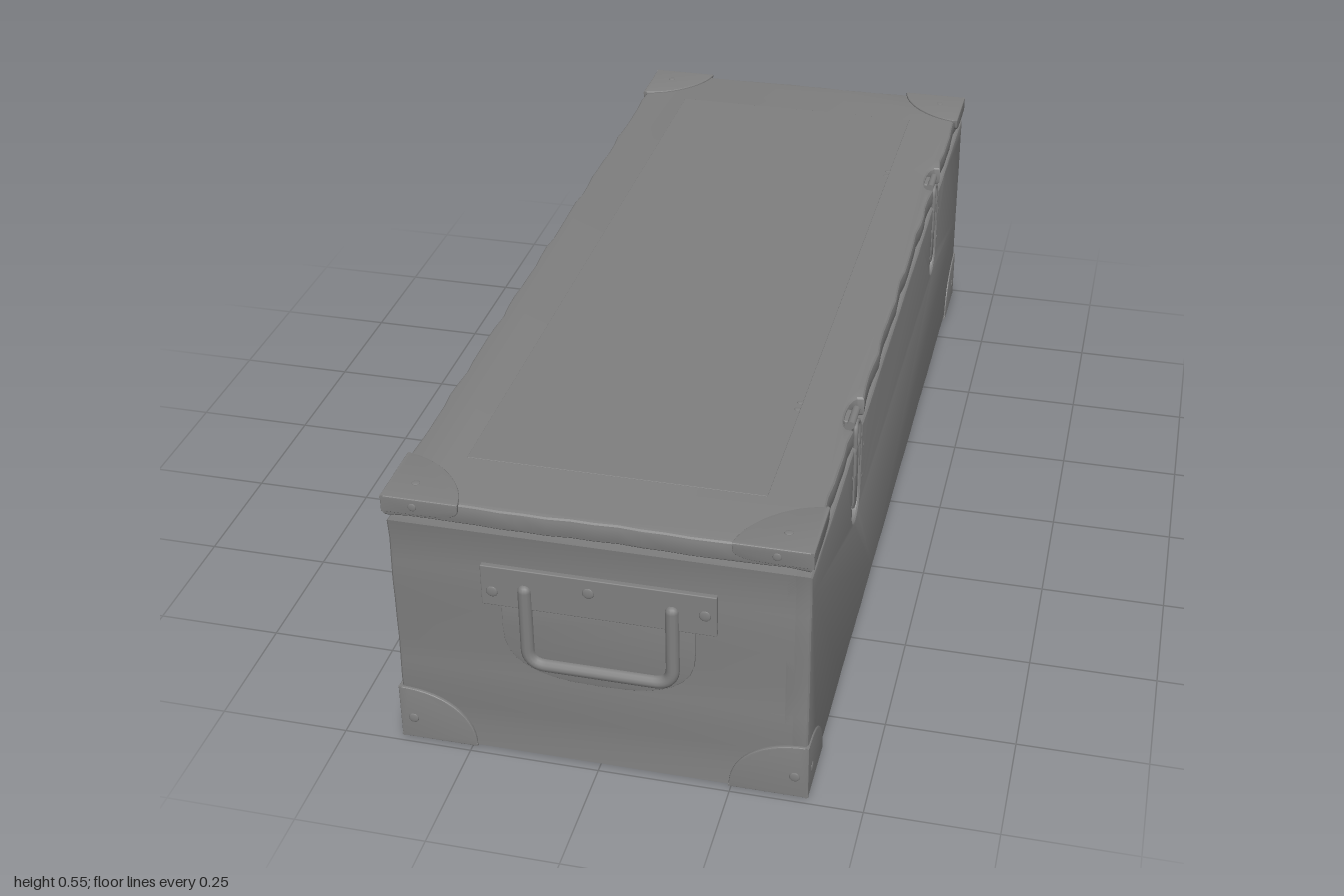
import * as THREE from 'three';
import { mergeGeometries, toCreasedNormals } from 'three/addons/utils/BufferGeometryUtils.js';
import { RoundedBoxGeometry } from 'three/addons/geometries/RoundedBoxGeometry.js';

const paint = new THREE.MeshStandardMaterial({ color: 0x808080 });
const V3 = (x, y, z) => new THREE.Vector3(x, y, z);

function mesh(name, geometry, parent, x = 0, y = 0, z = 0) {
  const m = new THREE.Mesh(geometry, paint);
  m.name = name;
  m.position.set(x, y, z);
  parent.add(m);
  return m;
}

// Bevelled plate filling z = 0..total over the outline
function slab(points, total, bevel) {
  const g = new THREE.ExtrudeGeometry(new THREE.Shape(points), {
    depth: total - 2 * bevel, bevelEnabled: true, bevelThickness: bevel,
    bevelSize: bevel, bevelOffset: -bevel, bevelSegments: 3,
  });
  g.translate(0, 0, bevel);
  g.deleteAttribute('uv');
  return g;
}
const smooth = (g) => toCreasedNormals(g, 0.35);
const facingX = (g) => g.rotateY(Math.PI / 2);   // outline (-z, y), thickness along x
const facingY = (g) => g.rotateX(-Math.PI / 2);  // outline (x, -z), thickness along y

// Counter-clockwise polygon whose long edges get small dents
function worn(pairs, dent) {
  const out = [];
  pairs.forEach(([x, y], i) => {
    const [x2, y2] = pairs[(i + 1) % pairs.length];
    const len = Math.hypot(x2 - x, y2 - y);
    const n = len > 0.25 ? Math.ceil(len / 0.045) : 1;
    for (let k = 0; k < n; k++) {
      const px = x + (x2 - x) * k / n, py = y + (y2 - y) * k / n;
      const d = k ? dent * (0.5 + 0.3 * Math.sin(19 * px + 31 * py) + 0.2 * Math.sin(67 * px + 53 * py)) : 0;
      out.push(new THREE.Vector2(px - d * (y2 - y) / len, py + d * (x2 - x) / len));
    }
  });
  return out;
}

// Quarter-round corner outline; a higher power is squarer
function quarter(a, b, power) {
  const pts = [new THREE.Vector2(0, 0)];
  for (let i = 0; i <= 14; i++) {
    const t = (i / 14) * Math.PI / 2;
    pts.push(new THREE.Vector2(a * Math.cos(t) ** (2 / power), b * Math.sin(t) ** (2 / power)));
  }
  pts[pts.length - 1].x = 0;
  return pts;
}

// Three plates meeting at the origin, then mirrored into the wanted octant
function cornerGuard(rx, ry, rz, sidePower, flatPower, sx, sy, sz) {
  const t = 0.008, b = 0.003, X = V3(1, 0, 0), Y = V3(0, 1, 0), Z = V3(0, 0, 1);
  const basis = (a, c, d) => new THREE.Matrix4().makeBasis(a, c, d);
  const g = mergeGeometries([
    slab(quarter(rx, ry, sidePower), t, b),
    slab(quarter(ry, rz, sidePower), t, b).applyMatrix4(basis(Y, Z, X)),
    slab(quarter(rz, rx, flatPower), t, b).applyMatrix4(basis(Z, X, Y)),
  ]);
  g.scale(sx, sy, sz);
  if (sx * sy * sz < 0) {
    const p = g.attributes.position;
    for (let i = 0; i < p.count; i += 3) {
      const a = V3().fromBufferAttribute(p, i + 1), c = V3().fromBufferAttribute(p, i + 2);
      p.setXYZ(i + 1, c.x, c.y, c.z);
      p.setXYZ(i + 2, a.x, a.y, a.z);
    }
  }
  return smooth(g);
}

// Flattened rivet head, thin along the given axis
function rivet(parent, axis, x, y, z, r = 0.01) {
  const m = mesh('rivet', new THREE.SphereGeometry(r, 12, 8), parent, x, y, z);
  m.scale[axis] = 0.2;
}

// U-shaped outline, flat at the top, round at the bottom
function uShape(w, top, bottom, ry) {
  const pts = [new THREE.Vector2(w, top), new THREE.Vector2(-w, top)];
  for (let i = 0; i <= 16; i++) {
    const t = Math.PI + (i / 16) * Math.PI, c = Math.cos(t), s = Math.sin(t);
    pts.push(new THREE.Vector2(w * Math.sign(c) * Math.abs(c) ** 0.75,
      bottom + ry - ry * Math.abs(s) ** 0.75));
  }
  return pts;
}

function handle() {
  const g = new THREE.Group();
  g.name = 'handle';
  mesh('handleBacking', smooth(slab(uShape(0.18, 0.36, 0.19, 0.11), 0.007, 0.002)), g, 0.005, 0, 0.98);
  mesh('handlePlate', new RoundedBoxGeometry(0.435, 0.085, 0.012, 2, 0.002), g, 0.007, 0.387, 0.983);
  const path = new THREE.CurvePath();
  const w = 0.136, r = 0.035, yb = 0.223, z = 0.987;
  path.add(new THREE.LineCurve3(V3(-w, 0.385, z), V3(-w, yb + r, z)));
  path.add(new THREE.QuadraticBezierCurve3(V3(-w, yb + r, z), V3(-w, yb, z), V3(-w + r, yb, z)));
  path.add(new THREE.LineCurve3(V3(-w + r, yb, z), V3(w - r, yb, z)));
  path.add(new THREE.QuadraticBezierCurve3(V3(w - r, yb, z), V3(w, yb, z), V3(w, yb + r, z)));
  path.add(new THREE.LineCurve3(V3(w, yb + r, z), V3(w, 0.385, z)));
  mesh('handleBar', new THREE.TubeGeometry(path, 80, 0.013, 12), g, 0.007);
  for (const s of [-1, 1]) mesh('handleEnd', new THREE.SphereGeometry(0.013, 12, 8), g, 0.007 + s * w, 0.385, z);
  for (const [x, y] of [[-0.19, 0.375], [-0.01, 0.4], [0.203, 0.387]]) rivet(g, 'z', x, y, 0.989, 0.011);
  return g;
}

// Toggle latch sitting in the recess of the +x side
function latch(z) {
  const g = new THREE.Group();
  g.name = 'latch';
  g.position.z = z;
  mesh('latchBase', smooth(facingX(slab(uShape(0.03, 0.49, 0.325, 0.03), 0.006, 0.001))), g, 0.371);
  mesh('latchLever', smooth(facingX(slab(uShape(0.019, 0.47, 0.335, 0.02), 0.014, 0.003))), g, 0.376);
  mesh('latchPivot', new THREE.CylinderGeometry(0.009, 0.009, 0.07, 12).rotateX(Math.PI / 2), g, 0.384, 0.475, 0);
  const loop = new THREE.CatmullRomCurve3([V3(0.388, 0.42, -0.018), V3(0.388, 0.515, -0.018),
    V3(0.386, 0.528, 0), V3(0.388, 0.515, 0.018), V3(0.388, 0.42, 0.018)], false, 'catmullrom', 0.3);
  mesh('latchLoop', new THREE.TubeGeometry(loop, 32, 0.005, 8), g);
  mesh('latchCatch', new RoundedBoxGeometry(0.022, 0.035, 0.044, 2, 0.003), g, 0.37, 0.523, 0);
  mesh('latchHook', new THREE.CylinderGeometry(0.008, 0.008, 0.06, 12).rotateX(Math.PI / 2), g, 0.38, 0.537, 0);
  for (const s of [-1, 1]) {
    rivet(g, 'x', 0.392, 0.44, s * 0.062, 0.005);
    rivet(g, 'x', 0.392, 0.37, s * 0.058, 0.005);
    rivet(g, 'y', 0.275, 0.548, s * 0.012, 0.006);
  }
  return g;
}

function hinge(z) {
  const g = new THREE.Group();
  g.name = 'hinge';
  g.position.z = z;
  mesh('hingePlate', new RoundedBoxGeometry(0.009, 0.155, 0.17, 2, 0.002), g, -0.389, 0.427, 0);
  mesh('hingeBarrel', new THREE.CylinderGeometry(0.009, 0.009, 0.17, 14).rotateX(Math.PI / 2), g, -0.388, 0.51, 0);
  for (const y of [0.375, 0.46]) for (const s of [-1, 0, 1]) rivet(g, 'x', -0.3935, y, s * 0.06, 0.007);
  return g;
}

export function createModel() {
  const model = new THREE.Group();
  model.name = 'trunk';
  const latchZ = [-0.52, 0.52], L = 0.983, top = 0.497, base = 0.003;

  // Body core and the latch side with its two recesses
  mesh('body', smooth(facingX(slab(worn([[-L, base], [L, base], [L, top], [-L, top]], 0.005), 0.757, 0.009))), model, -0.385);
  const side = [[-L, base], [L, base], [L, top]];
  for (const z of [0.52, -0.52]) {
    side.push([z + 0.044, top]);
    for (let i = 0; i <= 12; i++) {
      const t = (i / 12) * Math.PI;
      side.push([z + 0.044 * Math.cos(t), 0.35 - 0.044 * Math.sin(t)]);
    }
    side.push([z - 0.044, top]);
  }
  side.push([-L, top]);
  mesh('latchSide', smooth(facingX(slab(worn(side, 0.005), 0.052, 0.008))), model, 0.34);

  // Inner lip in the gap under the lid
  mesh('innerLip', new THREE.BoxGeometry(0.7, 0.04, 1.9), model, 0, 0.5, 0);

  // Lid, notched above each latch
  const lid = [[-0.387, -L], [0.391, -L]];
  for (const z of latchZ) {
    for (let i = 0; i <= 10; i++) {
      const t = (i / 10) * Math.PI;
      lid.push([0.391 - 0.026 * Math.sin(t) ** 0.6, z - 0.058 * Math.cos(t)]);
    }
  }
  lid.push([0.391, L], [-0.387, L]);
  mesh('lid', smooth(facingY(slab(worn(lid, 0.006), 0.042, 0.008))), model, 0, 0.505, 0);
  mesh('lidPanel', new RoundedBoxGeometry(0.56, 0.006, 1.66, 1, 0.001), model, 0, 0.545, 0);

  // Metal corner guards on the body and the lid
  for (const sx of [-1, 1]) for (const sz of [-1, 1]) {
    const x = sx > 0 ? 0.395 : -0.39, z = sz * 0.987;
    mesh('bodyCorner', cornerGuard(0.15, 0.118, 0.145, 2.2, 2, -sx, 1, -sz), model, x, 0, z);
    mesh('lidCorner', cornerGuard(0.145, 0.034, 0.145, 5, 1.7, -sx, -1, -sz), model, x, 0.551, z);
    rivet(model, 'z', x - sx * 0.026, 0.047, z);
    rivet(model, 'x', x, 0.047, sz * 0.95);
    rivet(model, 'z', sx * 0.33, 0.534, z, 0.008);
    rivet(model, 'y', sx * 0.34, 0.551, sz * 0.935, 0.008);
  }

  // Handles on both ends
  const front = handle(), back = handle();
  back.rotation.y = Math.PI;
  model.add(front, back);

  // Latches on the left, hinges on the right
  for (const z of latchZ) model.add(latch(z));
  for (const z of [-0.565, 0.555]) model.add(hinge(z));
  return model;
}
